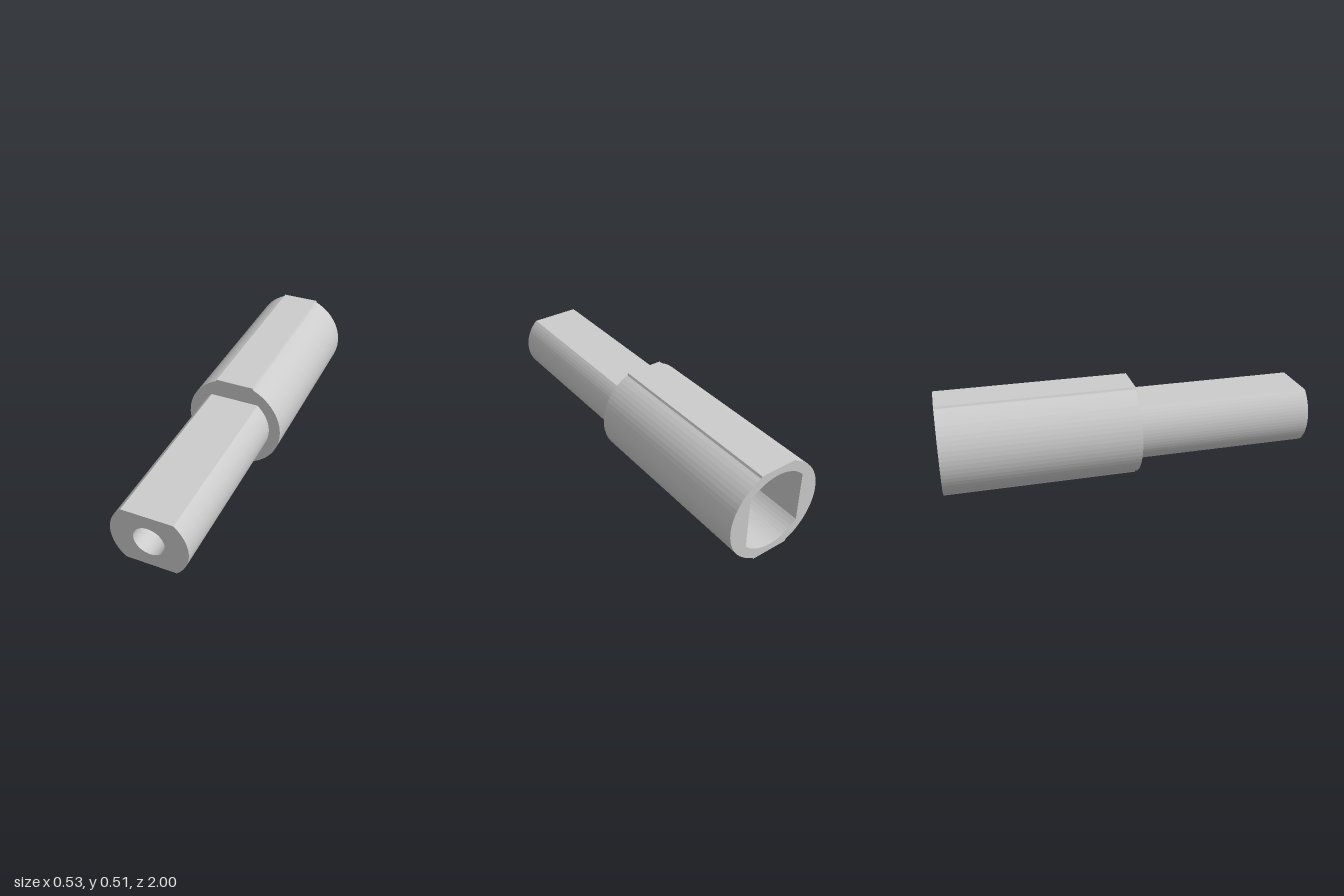
import * as THREE from 'three';

const AXIS_Y = 0.253;
const NOSE = 1, SHOULDER = 0.035, SOCKET_FLOOR = -0.035, REAR = -1;

// Counter-clockwise arc points.
function arc(r, from, to, n) {
  return Array.from({ length: n + 1 }, (_, i) => {
    const a = from + (to - from) * i / n;
    return new THREE.Vector2(r * Math.cos(a), r * Math.sin(a));
  });
}

// Circle cut by two flats at y = +-flat.
function flatted(r, flat) {
  const a = Math.asin(flat / r);
  return [...arc(r, -a, a, 18), ...arc(r, Math.PI - a, Math.PI + a, 18)];
}

// Circle with a shallow flat pad at top and bottom.
function padded(r, baseX, padX, padY) {
  const a = Math.acos(baseX / r);
  const half = [...arc(r, -a, a, 24), new THREE.Vector2(padX, padY), new THREE.Vector2(-padX, padY)];
  return [...half, ...half.map((p) => new THREE.Vector2(-p.x, -p.y))];
}

// Faceted wall along z; inward walls face the axis.
function wall(points, z0, z1, inward = false) {
  const pos = [];
  points.forEach((p, i) => {
    const q = points[(i + 1) % points.length];
    const [a, b] = inward ? [q, p] : [p, q];
    pos.push(a.x, a.y, z0, b.x, b.y, z0, b.x, b.y, z1);
    pos.push(a.x, a.y, z0, b.x, b.y, z1, a.x, a.y, z1);
  });
  const g = new THREE.BufferGeometry();
  g.setAttribute('position', new THREE.Float32BufferAttribute(pos, 3));
  g.computeVertexNormals();
  return g;
}

// Flat ring between two outlines, facing +z or -z.
function ring(outer, inner, z, back = false) {
  const shape = new THREE.Shape(outer);
  shape.holes.push(new THREE.Path(inner));
  const g = new THREE.ShapeGeometry(shape);
  if (back) g.rotateY(Math.PI); // outlines are symmetric
  return g.translate(0, 0, z);
}

export function createModel() {
  const model = new THREE.Group();
  const material = new THREE.MeshStandardMaterial({ color: 0xcccccc, flatShading: true });
  const add = (name, ...geometries) => {
    const group = new THREE.Group();
    group.name = name;
    group.position.y = AXIS_Y;
    geometries.forEach((g) => group.add(new THREE.Mesh(g, material)));
    model.add(group);
  };

  const shaft = flatted(0.202, 0.152);
  const body = padded(0.265, 0.108, 0.102, 0.253);
  const bore = arc(0.081, 0, Math.PI * 2, 48).slice(0, -1);
  // The socket takes the shaft section turned a quarter, with clearance.
  const socket = flatted(0.212, 0.16).map((p) => new THREE.Vector2(-p.y, p.x));

  add('shaft', wall(shaft, SHOULDER, NOSE), ring(shaft, bore, NOSE));
  add('body', wall(body, REAR, SHOULDER), ring(body, shaft, SHOULDER), ring(body, socket, REAR, true));
  add('bore', wall(bore, SOCKET_FLOOR, NOSE, true));
  add('socket', wall(socket, REAR, SOCKET_FLOOR, true), ring(socket, bore, SOCKET_FLOOR, true));
  return model;
}
